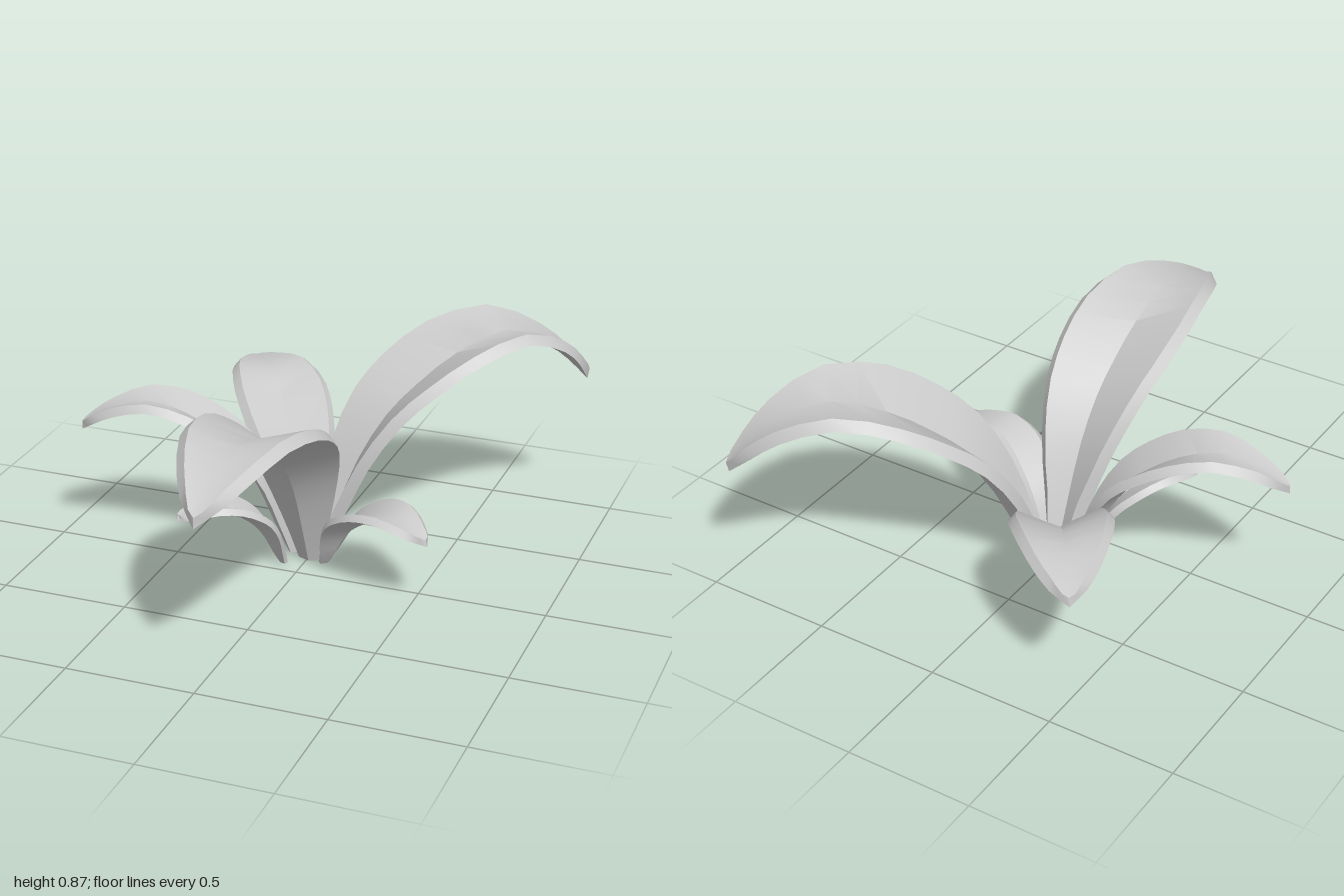
import * as THREE from 'three';
import { toCreasedNormals } from 'three/addons/utils/BufferGeometryUtils.js';

// Shared leaf profile: fraction along the leaf, rib height and half width
const U = [0, 0.07, 0.15, 0.25, 0.36, 0.5, 0.67, 0.83, 0.92, 1];
const RISE = [0, 0.3, 0.55, 0.73, 0.84, 0.94, 1];
const WIDTH = [0.2, 0.42, 0.66, 0.86, 0.97, 1, 0.86, 0.58, 0.35, 0];
const STEPS = 18;
const outline = new THREE.CatmullRomCurve3(U.map((u, i) => new THREE.Vector3(u, WIDTH[i], 0)));

// base and tip are [x, z]; peak and tipY are heights of the rib;
// a larger slope makes the leaf lean out lower before it levels off
function leafGeometry({ base, tip, peak, tipY, half, slope }) {
  const start = new THREE.Vector3(base[0], 0, base[1]);
  const dir = new THREE.Vector3(tip[0] - base[0], 0, tip[1] - base[1]);
  const length = dir.length();
  dir.normalize();
  const up = new THREE.Vector3(0, 1, 0);
  const side = up.clone().cross(dir);
  const thick = 0.012 + 0.02 * length;

  // Rib rises steeply, levels off, then droops to the tip
  const rib = new THREE.CatmullRomCurve3(U.map((u, i) => {
    const y = i < RISE.length ? RISE[i] ** slope * peak
      : peak - (peak - tipY) * ((u - 0.67) / 0.33) ** 2;
    return start.clone().addScaledVector(dir, u * length).setY(y);
  }));

  // V-shaped section: wider underside, bevelled rim, narrower top
  const pos = [];
  for (let i = 0; i <= STEPS; i++) {
    const p = rib.getPoint(i / STEPS);
    const t = rib.getTangent(i / STEPS);
    const n = t.clone().cross(side);
    const { x: u, y: width } = outline.getPoint(i / STEPS);
    const w = width * half;
    const wTop = Math.max(w - thick, w * 0.65);
    const lift = w * (0.48 - 0.4 * u);
    const back = i === STEPS ? -thick * 0.7 : 0;
    const section = [[-w, lift, 0], [0, 0, 0], [w, lift, 0],
      [wTop, lift + thick, back], [0, thick, back], [-wTop, lift + thick, back]];
    for (const [s, h, f] of section) {
      const v = p.clone().addScaledVector(side, s).addScaledVector(n, h).addScaledVector(t, f);
      if (i === 0) v.y = 0;
      pos.push(v.x, v.y, v.z);
    }
  }

  // Skin between sections, plus the flat cut at the base
  const index = [0, 5, 4, 0, 4, 1, 1, 4, 3, 1, 3, 2];
  for (let i = 0; i < STEPS; i++) {
    for (let k = 0; k < 6; k++) {
      const a = i * 6 + k, b = i * 6 + (k + 1) % 6;
      index.push(a, b, b + 6, a, b + 6, a + 6);
    }
  }
  const geo = new THREE.BufferGeometry();
  geo.setAttribute('position', new THREE.Float32BufferAttribute(pos, 3));
  geo.setIndex(index);
  return toCreasedNormals(geo, 0.6);
}

export function createModel() {
  const plant = new THREE.Group();
  plant.name = 'plant';
  const material = new THREE.MeshStandardMaterial({ color: 0xcccccc, side: THREE.DoubleSide });

  const leaves = {
    frontLeaf: { base: [0.01, -0.11], tip: [0.01, 1], peak: 0.76, tipY: 0.64, half: 0.24, slope: 1.15 },
    backLeftLeaf: { base: [0.03, -0.24], tip: [0.875, -1], peak: 0.785, tipY: 0.56, half: 0.25, slope: 1.35 },
    backRightLeaf: { base: [-0.06, -0.26], tip: [-0.535, -0.92], peak: 0.51, tipY: 0.47, half: 0.19, slope: 1.5 },
    rightLeaf: { base: [-0.1, -0.175], tip: [-0.875, 0.045], peak: 0.59, tipY: 0.49, half: 0.152, slope: 1.28 },
    smallFrontRightLeaf: { base: [-0.09, -0.06], tip: [-0.385, 0.27], peak: 0.285, tipY: 0.275, half: 0.11, slope: 1.4 },
    smallLeftLeaf: { base: [0.085, -0.12], tip: [0.57, 0.13], peak: 0.305, tipY: 0.27, half: 0.13, slope: 1.5 },
  };
  for (const [name, spec] of Object.entries(leaves)) {
    const leaf = new THREE.Mesh(leafGeometry(spec), material);
    leaf.name = name;
    plant.add(leaf);
  }
  return plant;
}
